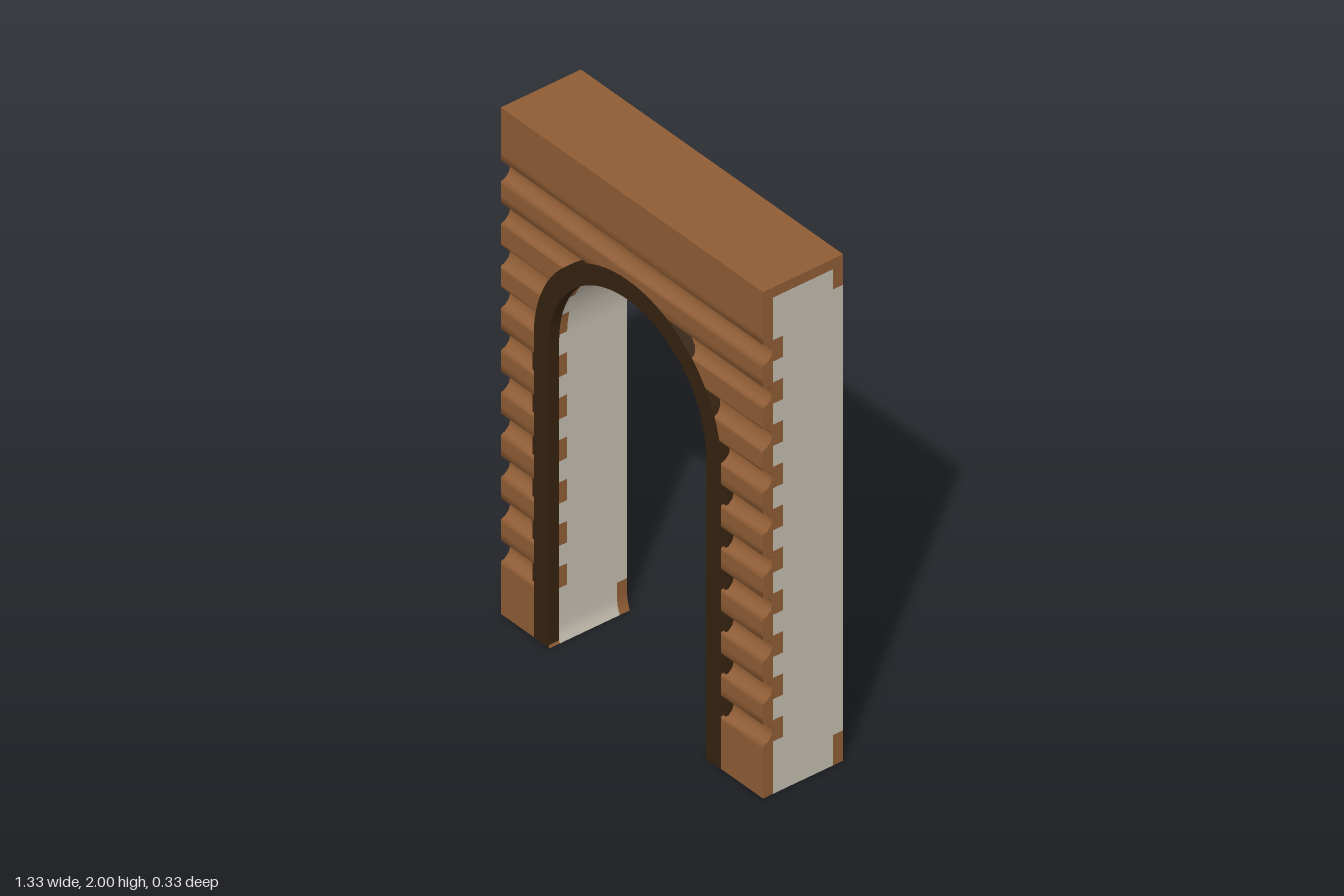
import * as THREE from 'three';
import { toCreasedNormals } from 'three/addons/utils/BufferGeometryUtils.js';

const W = 0.667, D = 0.167;            // half width, half depth
const CX = -0.022, CY = 1.195;         // arch centre
const R = 0.41;                        // half width of the opening in the wall
const FACE = 0.125, NOTCH = 0.083;     // back of the planks, back of the groove lining
const STEP = 0.1667;
const grooves = Array.from({ length: 10 }, (_, i) => 0.207 + i * STEP);
const GH = 0.084;                      // groove height
const inGroove = (y) => grooves.some((g) => y > g && y < g + GH);

// half width of the opening at height y, with a slight flare at the foot
function opening(y) {
  if (y >= CY + R - 1e-6) return 0;
  if (y > CY) return Math.sqrt(R * R - (y - CY) ** 2);
  return y < 0.06 ? R - 0.014 * (1 - y / 0.06) ** 2 : R;
}

// wall slab around the opening; back(mid) and front(y, mid) give its depth limits
function slab(y0, y1, extra, back, front) {
  const ys = [y0, y1, ...extra, 0.02, 0.04, 0.06];
  for (let i = 0; i <= 24; i++) ys.push(CY + R * Math.sin((i / 24) * Math.PI / 2));
  const sorted = ys.filter((y) => y >= y0 && y <= y1).sort((a, b) => a - b)
    .filter((y, i, a) => i === 0 || y - a[i - 1] > 1e-5);
  const pos = [];
  for (const s of [1, -1]) {
    const rows = [];
    for (let i = 0; i < sorted.length - 1; i++) {
      const mid = (sorted[i] + sorted[i + 1]) / 2;
      for (const y of [sorted[i], sorted[i + 1]]) {
        const xi = CX + s * opening(y), xo = s * W, zb = back(mid), zf = front(y, mid);
        rows.push([[xi, y, zb], [xi, y, zf], [xo, y, zf], [xo, y, zb]]);
      }
    }
    const quad = (a, b, c, d) => {
      for (const p of s > 0 ? [a, b, c, a, c, d] : [a, c, b, a, d, c]) pos.push(...p);
    };
    for (let i = 0; i < rows.length - 1; i++) {
      const p = rows[i], q = rows[i + 1];
      for (let k = 0; k < 4; k++) {
        const n = (k + 1) % 4;
        quad(p[k], p[n], q[n], q[k]);
      }
    }
    const bottom = rows[0], top = rows[rows.length - 1];
    quad(top[0], top[1], top[2], top[3]);
    quad(bottom[3], bottom[2], bottom[1], bottom[0]);
  }
  const g = new THREE.BufferGeometry();
  g.setAttribute('position', new THREE.Float32BufferAttribute(pos, 3));
  g.computeVertexNormals();
  return toCreasedNormals(g, 1.3);
}

// arch outline: up one side, over the top, down the other
function archPoints(r) {
  const pts = [new THREE.Vector2(CX + r, 0)];
  for (let i = 0; i <= 40; i++) {
    const a = (i / 40) * Math.PI;
    pts.push(new THREE.Vector2(CX + r * Math.cos(a), CY + r * Math.sin(a)));
  }
  pts.push(new THREE.Vector2(CX - r, 0));
  return pts;
}

export function createModel() {
  const model = new THREE.Group();
  const wood = new THREE.MeshStandardMaterial({ color: 0x8e5c34 });
  const plaster = new THREE.MeshStandardMaterial({ color: 0xc2bbae });
  const darkWood = new THREE.MeshStandardMaterial({ color: 0x35220f });
  wood.name = 'wood'; plaster.name = 'plaster'; darkWood.name = 'dark wood';
  const add = (name, geo, mat, parent = model) => {
    const m = new THREE.Mesh(geo, mat);
    m.name = name;
    parent.add(m);
    return m;
  };
  const edges = grooves.flatMap((g) => [g, g + GH]);

  // plaster core, notched where the groove lining is deeper
  add('plasterWall', slab(0, 1.96, [...edges, 0.12, 1.88],
    (m) => (m < 0.12 || m > 1.88 ? -FACE : -D),
    (y, m) => (inGroove(m) ? NOTCH : FACE)), plaster);

  // plank front with scalloped grooves
  const scallop = [[0, D], [0.006, 0.15], [0.022, 0.134], [0.042, 0.128],
    [0.062, 0.133], [0.076, 0.147], [GH, D]];
  const frontZ = (y) => {
    for (const g of grooves) {
      const t = y - g;
      if (t < 0 || t > GH) continue;
      const i = Math.max(1, scallop.findIndex((p) => p[0] >= t - 1e-6));
      const [a, za] = scallop[i - 1], [b, zb] = scallop[i];
      return za + (zb - za) * (t - a) / (b - a);
    }
    return D;
  };
  const rows = grooves.flatMap((g) => [...scallop.map((p) => g + p[0]), g - 0.015, g + GH + 0.03]);
  add('plankFront', slab(0, 2, rows, (m) => (inGroove(m) ? NOTCH : FACE), frontZ), wood);

  // boards at the back and on top
  add('backBaseBoard', slab(0, 0.12, [], () => -D, () => -FACE), wood);
  add('backTopBoard', slab(1.88, 2, [], () => -D, () => -FACE), wood);
  add('topBoard', slab(1.96, 2, [], () => -FACE, () => FACE), wood);

  // dark arch trim
  const trim = new THREE.Group();
  trim.name = 'archTrim';
  model.add(trim);
  const shape = new THREE.Shape([...archPoints(0.476), ...archPoints(0.4).reverse()]);
  const trimGeo = new THREE.ExtrudeGeometry(shape, { depth: 0.0435, bevelEnabled: false });
  trimGeo.translate(0, 0, 0.1245);
  add('trimBand', toCreasedNormals(trimGeo, 0.6), darkWood, trim);

  // small tabs closing the groove ends beside the trim
  for (const g of grooves.slice(0, 6)) {
    for (const s of [1, -1]) {
      const tab = add('trimTab', new THREE.BoxGeometry(0.03, GH - 0.012, 0.036), darkWood, trim);
      tab.position.set(CX + s * 0.477, g + GH / 2, 0.143);
    }
  }
  return model;
}
